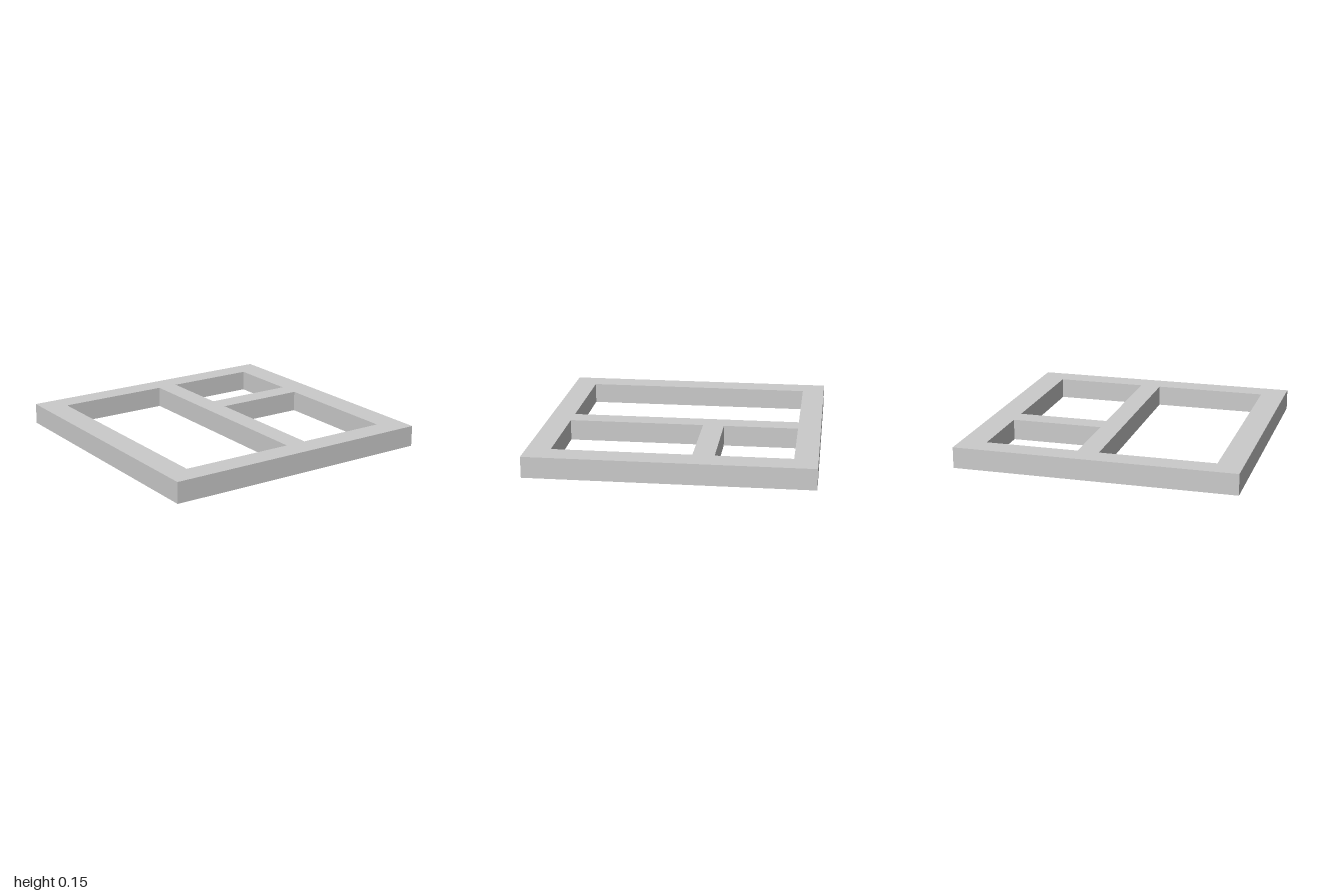
import * as THREE from 'three';

// Counter-clockwise rectangle on the ground plan; shape y is -z
function rectangle(Type, x0, x1, z0, z1) {
  return new Type([[x0, z1], [x1, z1], [x1, z0], [x0, z0]].map(([x, z]) => new THREE.Vector2(x, -z)));
}

export function createModel() {
  const group = new THREE.Group();
  group.name = 'dividedFrame';

  // Square slab with one tall opening and two stacked openings
  const outline = rectangle(THREE.Shape, -1, 1, -1, 1);
  const openings = [
    [-0.82, 0, -0.836, 0.83],
    [0.152, 0.814, -0.836, -0.3],
    [0.152, 0.814, -0.148, 0.83],
  ];
  for (const o of openings) outline.holes.push(rectangle(THREE.Path, ...o));

  const geometry = new THREE.ExtrudeGeometry(outline, { depth: 0.15, bevelEnabled: false });
  geometry.rotateX(-Math.PI / 2);

  const frame = new THREE.Mesh(geometry, new THREE.MeshStandardMaterial({ color: 0xcccccc }));
  frame.name = 'frame';
  group.add(frame);
  return group;
}
